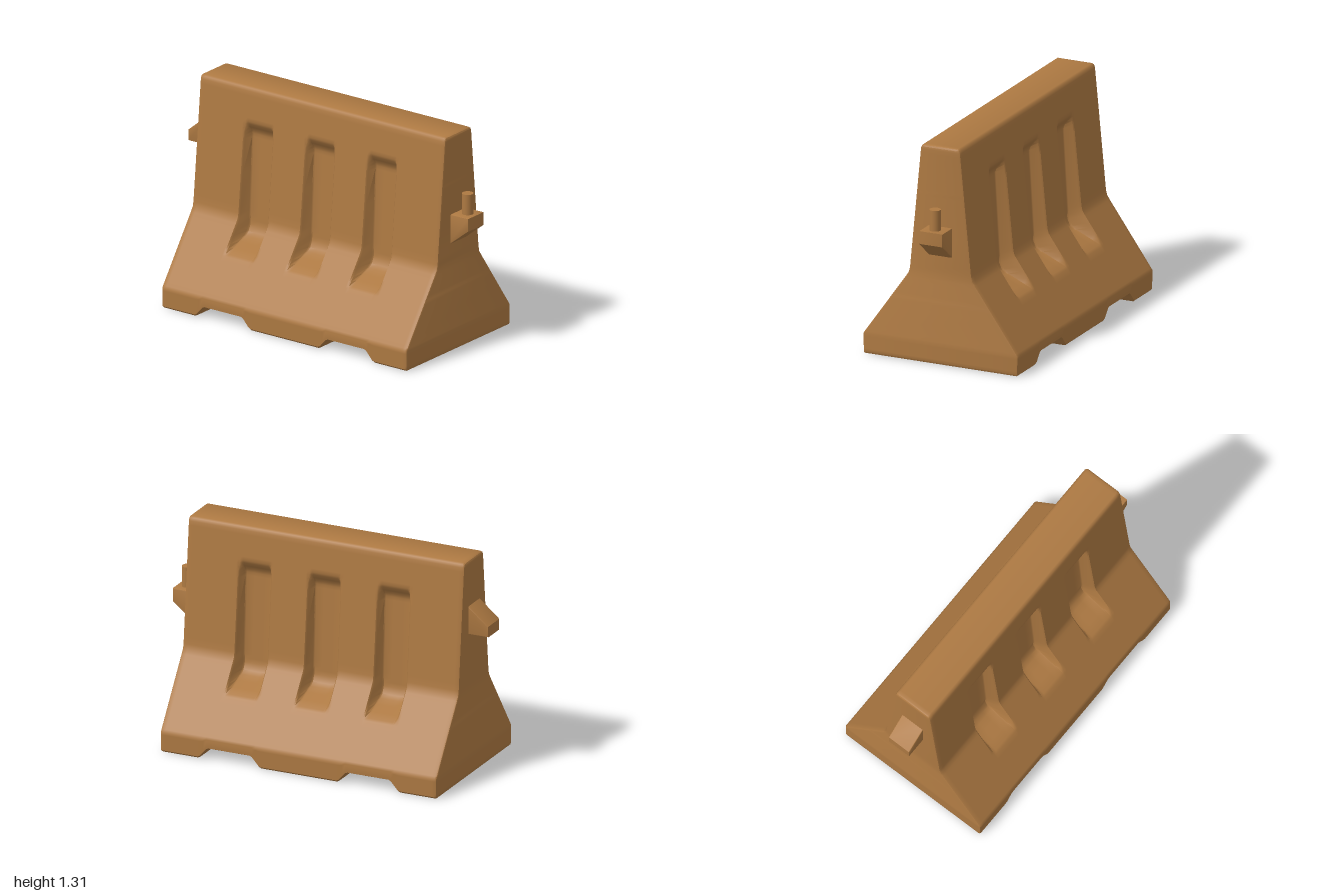
import * as THREE from 'three';
import { toCreasedNormals } from 'three/addons/utils/BufferGeometryUtils.js';

const HALF = 0.875, BEVEL = 0.012, HEIGHT = 1.31;

// Piecewise-linear lookup in a list of [key, value] pairs with rising keys
function lookup(table, k) {
  if (k <= table[0][0]) return table[0][1];
  for (let i = 1; i < table.length; i++) {
    const [k0, v0] = table[i - 1], [k1, v1] = table[i];
    if (k <= k1) return v0 + (v1 - v0) * (k - k0) / (k1 - k0);
  }
  return table[table.length - 1][1];
}

// Half depth of the wall by height
const wall = [[0, 0.48], [0.01, 0.49], [0.12, 0.492], [0.135, 0.482], [0.505, 0.22],
  [0.53, 0.204], [0.56, 0.197], [1.285, 0.127], [1.302, 0.12], [1.31, 0.108]];
// Half depth of the recess floor by height, and how far it is sunk at its ends
const recessFloor = [[0.34, 0.335], [0.36, 0.305], [0.42, 0.165], [0.44, 0.14], [0.48, 0.122], [1.03, 0.09]];
const recessEnds = [[0.34, 0], [0.352, 0.5], [0.375, 1], [1.02, 1], [1.04, 0.9], [1.09, 0.2], [1.108, 0]];
const recessSides = [[0.078, 1], [0.086, 0.92], [0.1, 0.12], [0.108, 0]];

const rows = [0, 0.003, 0.01, 0.03, 0.105, 0.12, 0.135, 0.16, 0.31, 0.34, 0.352, 0.375, 0.4, 0.42, 0.44, 0.46, 0.48,
  0.505, 0.53, 0.56, 0.6, 0.8, 1.0, 1.02, 1.04, 1.065, 1.09, 1.108, 1.13, 1.26, 1.285, 1.302, 1.31];
const centres = [-0.44, 0, 0.44];

// Height of the underside, raised at the two fork slots
function underside(x) {
  const d = Math.abs(Math.abs(x) - 0.44);
  return 0.065 * THREE.MathUtils.smoothstep(0.2 - d, 0, 0.07);
}

// Closed cross-section: up the front, then down the back
function section(x, inset) {
  const side = Math.min(...centres.map(c => Math.abs(x - c)));
  const base = underside(x);
  const front = rows.map(y => {
    const sunk = lookup(recessSides, side) * lookup(recessEnds, y);
    const w = lookup(wall, y);
    const z = w + (Math.min(w, lookup(recessFloor, y)) - w) * sunk - inset;
    const lifted = y < 0.12 ? base + y * (1 - base / 0.12) : y;
    return [x, THREE.MathUtils.clamp(lifted, inset, HEIGHT - inset), z];
  });
  return [...front, ...front.map(([a, y, z]) => [a, y, -z]).reverse()];
}

function bodyGeometry() {
  const xs = [HALF - BEVEL, HALF - BEVEL - 0.02];
  for (const c of centres) for (const d of [0.03, 0.078, 0.086, 0.1, 0.108, 0.12]) xs.push(c - d, c + d);
  for (const d of [0.13, 0.145, 0.1655, 0.185, 0.2, 0.215]) xs.push(0.44 - d, 0.44 + d);
  const all = [...new Set(xs.flatMap(x => [x, -x]).map(x => +x.toFixed(4)))].sort((a, b) => a - b);
  const rings = [section(-HALF, BEVEL), section(-HALF + BEVEL * 0.3, BEVEL * 0.3),
    ...all.map(x => section(x, 0)),
    section(HALF - BEVEL * 0.3, BEVEL * 0.3), section(HALF, BEVEL)];
  const n = rings[0].length, pos = [];
  const quad = (a, b, c, d) => pos.push(...a, ...b, ...c, ...a, ...c, ...d);
  for (let i = 0; i < rings.length - 1; i++) {
    for (let j = 0; j < n; j++) {
      const k = (j + 1) % n;
      quad(rings[i][j], rings[i + 1][j], rings[i + 1][k], rings[i][k]);
    }
  }
  // End caps, bridged from front to back
  const first = rings[0], last = rings[rings.length - 1];
  for (let j = 0; j < rows.length - 1; j++) {
    const b = n - 1 - j;
    quad(last[j], last[b], last[b - 1], last[j + 1]);
    quad(first[b], first[j], first[j + 1], first[b - 1]);
  }
  const g = new THREE.BufferGeometry();
  g.setAttribute('position', new THREE.Float32BufferAttribute(pos, 3));
  return toCreasedNormals(g, 0.75);
}

// Bracket: side outline extruded across the depth with softened edges
function bracketGeometry(points) {
  const b = 0.006, width = 0.15;
  const shape = new THREE.Shape(points.map(p => new THREE.Vector2(...p)));
  const g = new THREE.ExtrudeGeometry(shape, {
    depth: width - 2 * b, bevelThickness: b, bevelSize: b, bevelOffset: -b, bevelSegments: 2,
  });
  g.translate(0, 0, -width / 2 + b);
  return toCreasedNormals(g, 0.6);
}

export function createModel() {
  const group = new THREE.Group();
  const plastic = new THREE.MeshStandardMaterial({ color: 0xad7942 });
  plastic.name = 'ochre plastic';
  const add = (name, geometry) => {
    const mesh = new THREE.Mesh(geometry, plastic);
    mesh.name = name;
    group.add(mesh);
    return mesh;
  };

  add('barrierBody', bodyGeometry());

  // Interlocking brackets on the two ends
  add('pinBracket', bracketGeometry([[0.85, 0.635], [1, 0.755], [1, 0.832], [0.85, 0.832]]));
  add('socketBracket', bracketGeometry([[-0.85, 1.055], [-1, 0.93], [-1, 0.865], [-0.85, 0.865]]));

  // Upright locking pin
  add('lockingPin', new THREE.CylinderGeometry(0.033, 0.033, 0.14, 32)).position.set(0.94, 0.885, 0);

  return group;
}
